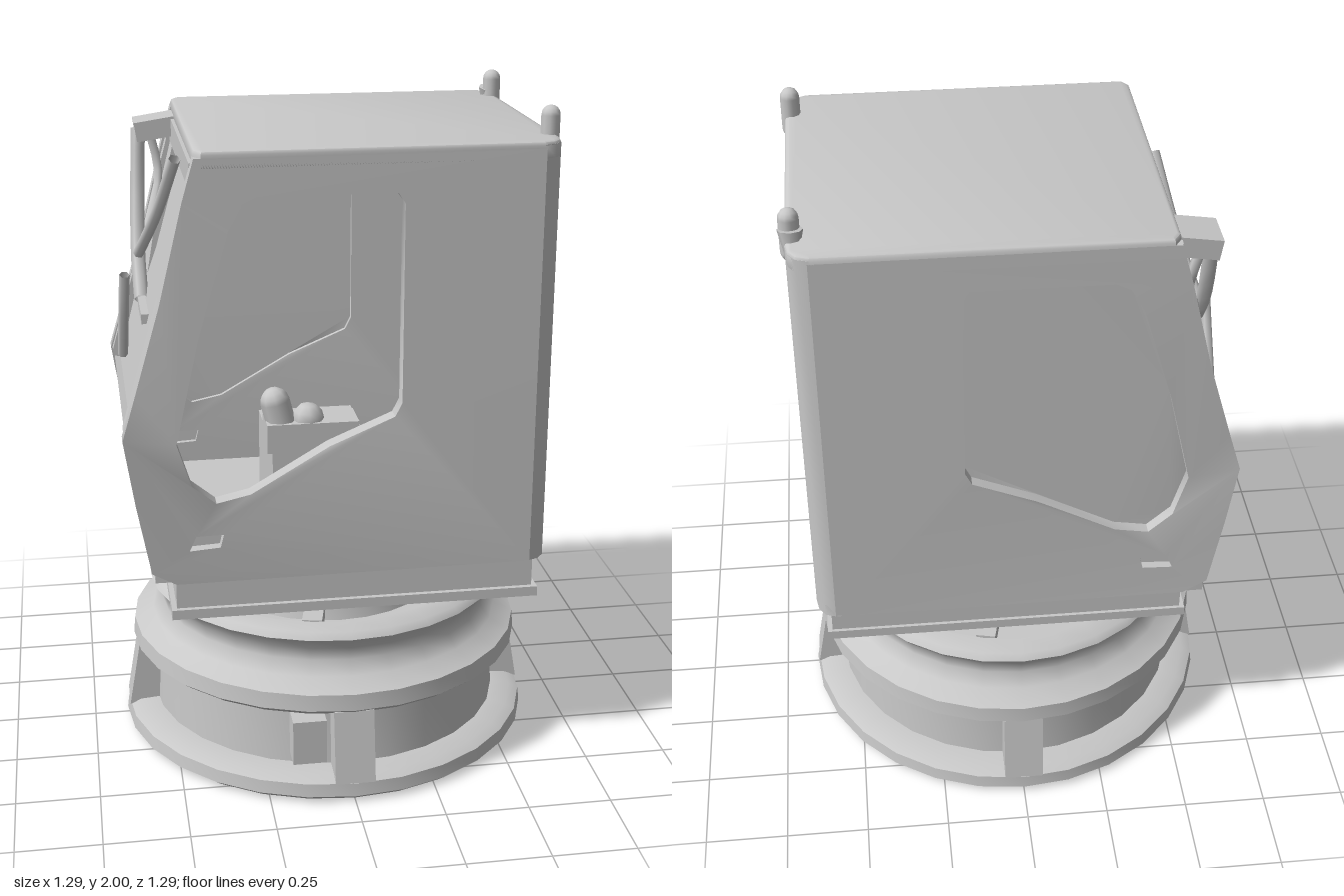
import * as THREE from 'three';
import { toCreasedNormals } from 'three/addons/utils/BufferGeometryUtils.js';

export function createModel() {
  const grey = new THREE.MeshStandardMaterial({ color: 0xc8c8c8, side: THREE.DoubleSide });
  grey.name = 'plain grey';
  const model = new THREE.Group();
  model.name = 'operatorCab';

  const add = (name, geo, x = 0, y = 0, z = 0) => {
    const m = new THREE.Mesh(geo, grey);
    m.name = name;
    m.position.set(x, y, z);
    model.add(m);
    return m;
  };
  const box = (name, x0, x1, y0, y1, z0, z1) =>
    add(name, new THREE.BoxGeometry(x1 - x0, y1 - y0, z1 - z0), (x0 + x1) / 2, (y0 + y1) / 2, (z0 + z1) / 2);
  const v2 = pts => pts.map(p => new THREE.Vector2(...p));
  const shapeOf = pts => new THREE.Shape(v2(pts));
  const crease = (g, a = 0.6) => toCreasedNormals(g, a);
  const tube = (name, pts, r, seg = 8) => add(name, new THREE.TubeGeometry(
    new THREE.CatmullRomCurve3(pts.map(p => new THREE.Vector3(...p))), seg, r, 6));

  // Turntable base: foot flange, recessed waist, bulged ring, upper groove and rim
  const baseProfile = v2([[0, 0], [0.62, 0], [0.645, 0.02], [0.64, 0.06], [0.61, 0.075], [0.55, 0.08],
    [0.54, 0.26], [0.59, 0.27], [0.615, 0.29], [0.61, 0.34], [0.55, 0.37], [0.52, 0.41],
    [0.525, 0.45], [0.555, 0.49], [0.54, 0.51], [0.48, 0.515], [0.45, 0.46], [0.36, 0.46], [0.35, 0.5], [0, 0.5]]);
  add('turntableBase', crease(new THREE.LatheGeometry(baseProfile, 28), 0.9));
  add('turntableHub', new THREE.CylinderGeometry(0.33, 0.35, 0.06, 20), 0, 0.52, 0);

  // Sloped ribs around the waist
  const ribShape = shapeOf([[0.48, 0.06], [0.638, 0.06], [0.6, 0.28], [0.48, 0.28]]);
  for (let i = 0; i < 4; i++) {
    const rib = new THREE.ExtrudeGeometry(ribShape, { depth: 0.12, bevelEnabled: false });
    rib.translate(0, 0, -0.06);
    add('baseRib', rib).rotation.y = i * Math.PI / 2;
  }
  box('baseBlock', -0.18, -0.08, 0.11, 0.25, 0.48, 0.59);

  // Spokes in the upper groove
  for (let i = 0; i < 6; i++) {
    const spoke = new THREE.BoxGeometry(0.14, 0.05, 0.06);
    spoke.translate(0.4, 0, 0);
    add('deckSpoke', spoke, 0, 0.49, 0).rotation.y = i * Math.PI / 3 + 0.3;
  }

  // Skirt under the cab
  box('skirt', -0.5, 0.57, 0.56, 0.665, -0.44, 0.43);
  box('skirtLip', -0.515, 0.585, 0.54, 0.57, -0.45, 0.445);

  // Side walls with window and handle openings
  const wallPts = [[-0.5, 0.66], [0.555, 0.66], [0.555, 1.9], [-0.42, 1.9], [-0.455, 1.78], [-0.525, 1.5],
    [-0.6, 1.25], [-0.64, 1.12], [-0.61, 0.92], [-0.57, 0.7]];
  const windowPts = [[-0.25, 1.79], [0.14, 1.79], [0.16, 1.76], [0.16, 1.18], [0.14, 1.14], [-0.05, 1.06],
    [-0.28, 0.93], [-0.38, 0.91], [-0.45, 0.97], [-0.49, 1.1], [-0.42, 1.4], [-0.33, 1.7], [-0.29, 1.77]];
  const handlePts = [[-0.46, 0.765], [-0.37, 0.77], [-0.36, 0.81], [-0.44, 0.81]];
  const swell = (g, amount) => {
    const p = g.attributes.position;
    for (let i = 0; i < p.count; i++) {
      const h = Math.max(0, 1 - Math.abs(p.getY(i) - 1.1) / 0.6);
      const f = THREE.MathUtils.clamp((-0.1 - p.getX(i)) / 0.45, 0, 1);
      p.setZ(i, p.getZ(i) + amount * h * f);
    }
    g.computeVertexNormals();
    return g;
  };
  const sides = [['leftHand', 0.4, 0.04, 0.425], ['rightHand', -0.48, 0.02, -0.445]];
  for (const [side, z, bulge, insetZ] of sides) {
    const wall = shapeOf(wallPts);
    wall.holes.push(new THREE.Path(v2(windowPts)), new THREE.Path(v2(handlePts)));
    const g = new THREE.ExtrudeGeometry(wall, { depth: 0.05, bevelEnabled: false });
    g.translate(0, 0, z);
    add(side + 'Wall', crease(swell(g, bulge)));
    box(side + 'HandleRecess', -0.47, -0.35, 0.76, 0.82, insetZ - 0.004, insetZ + 0.004);

    // Windscreen pillar behind the wall's front edge
    const pillar = new THREE.ExtrudeGeometry(shapeOf([[-0.42, 1.88], [-0.525, 1.5], [-0.635, 1.12], [-0.57, 0.7],
      [-0.53, 0.7], [-0.575, 1.12], [-0.475, 1.5], [-0.38, 1.88]]), { depth: 0.06, bevelEnabled: false });
    pillar.translate(0, 0, z > 0 ? 0.36 : -0.44);
    add(side + 'Pillar', pillar);
  }

  // Closed pane in the right-hand window; the left-hand one is open
  const sidePane = new THREE.ShapeGeometry(shapeOf(windowPts));
  sidePane.translate(0, 0, -0.445);
  add('rightHandPane', swell(sidePane, 0.02));

  // Leaning windscreen with an opening in its upper right-hand part
  const screen = shapeOf([[-0.43, 1.08], [0.42, 1.08], [0.42, 1.87], [-0.43, 1.87]]);
  screen.holes.push(new THREE.Path(v2([[-0.29, 1.81], [-0.03, 1.81], [-0.09, 1.53], [-0.16, 1.43], [-0.25, 1.53]])));
  const screenGeo = new THREE.ShapeGeometry(screen);
  const sp = screenGeo.attributes.position;
  for (let i = 0; i < sp.count; i++) sp.setXYZ(i, -0.61 + 0.26 * (sp.getY(i) - 1.1), sp.getY(i), sp.getX(i));
  screenGeo.index.array.reverse();
  screenGeo.computeVertexNormals();
  // Corner order is reversed twice by the axis swap, so the pane faces forward
  screenGeo.index.array.reverse();
  screenGeo.computeVertexNormals();
  add('windscreen', screenGeo);

  // Extrude a plan outline (x, z) upwards from y0 to y1
  const plan = (pts, y0, y1, bevel = 0) => {
    const g = new THREE.ExtrudeGeometry(shapeOf(pts.map(([x, z]) => [x, -z])), {
      depth: y1 - y0 - 2 * bevel, bevelEnabled: bevel > 0, bevelSize: bevel,
      bevelThickness: bevel, bevelOffset: -bevel, bevelSegments: 2 });
    g.rotateX(-Math.PI / 2);
    g.translate(0, y0 + bevel, 0);
    return crease(g, 0.8);
  };
  const backCorners = [[0.55, 0.45], [0.585, 0.435], [0.605, 0.41], [0.612, 0.37],
    [0.612, -0.4], [0.605, -0.44], [0.585, -0.468], [0.55, -0.48]];
  add('backWall', plan([[0.55, 0.4], ...backCorners, [0.55, -0.43]], 0.66, 1.91));
  add('roof', plan([[-0.4, 0.45], ...backCorners, [-0.4, -0.48], [-0.42, -0.45], [-0.42, 0.42]], 1.86, 1.92, 0.012));
  add('floor', plan([[-0.56, 0.44], ...backCorners, [-0.56, -0.47]], 0.66, 0.7));

  // Front header and lower front panel
  box('frontHeader', -0.43, -0.36, 1.8, 1.88, -0.44, 0.41);
  const panel = new THREE.ExtrudeGeometry(shapeOf([[-0.57, 0.7], [-0.52, 0.7], [-0.585, 1.09], [-0.63, 1.1],
    [-0.607, 0.92]]), { depth: 0.84, bevelEnabled: false });
  panel.translate(0, 0, -0.43);
  add('frontPanel', panel);

  // Rounded lugs at the back of the roof
  for (const [x, z] of [[0.595, 0.33], [0.598, -0.36]]) {
    add('roofLug', new THREE.CapsuleGeometry(0.028, 0.1, 4, 10), x, 1.922, z);
  }
  const root = add('lugRoot', new THREE.ConeGeometry(0.035, 0.15, 8), 0.595, 1.87, -0.385);
  root.rotation.x = Math.PI + 0.2;

  // Bracket, arms and wiper rod in front of the windscreen
  box('armBracket', -0.54, -0.4, 1.82, 1.88, -0.42, -0.3).rotation.z = 0.15;
  tube('mirrorArm', [[-0.53, 1.85, -0.33], [-0.54, 1.68, -0.28], [-0.55, 1.5, -0.18], [-0.55, 1.38, -0.05]], 0.022);
  tube('mirrorArm', [[-0.45, 1.84, 0.14], [-0.5, 1.65, 0.0], [-0.55, 1.5, -0.14]], 0.018);
  tube('armStay', [[-0.5, 1.86, -0.38], [-0.47, 1.7, -0.36], [-0.53, 1.52, -0.2]], 0.015);
  tube('wiperRod', [[-0.6, 1.47, 0.0], [-0.605, 1.35, -0.05], [-0.61, 1.18, -0.14]], 0.016);
  box('armPlate', -0.56, -0.5, 1.35, 1.38, -0.08, 0.12);

  // Seat and controls
  box('seatBase', -0.18, 0.12, 0.7, 0.95, -0.2, 0.16);
  box('armRest', -0.2, 0.08, 0.95, 1.04, 0.08, 0.2);
  const lever = add('controlLever', new THREE.CapsuleGeometry(0.045, 0.08, 4, 8), -0.16, 1.06, 0.15);
  lever.rotation.z = 0.25;
  add('leverKnob', new THREE.SphereGeometry(0.05, 8, 6), -0.07, 1.04, 0.15);

  return model;
}
